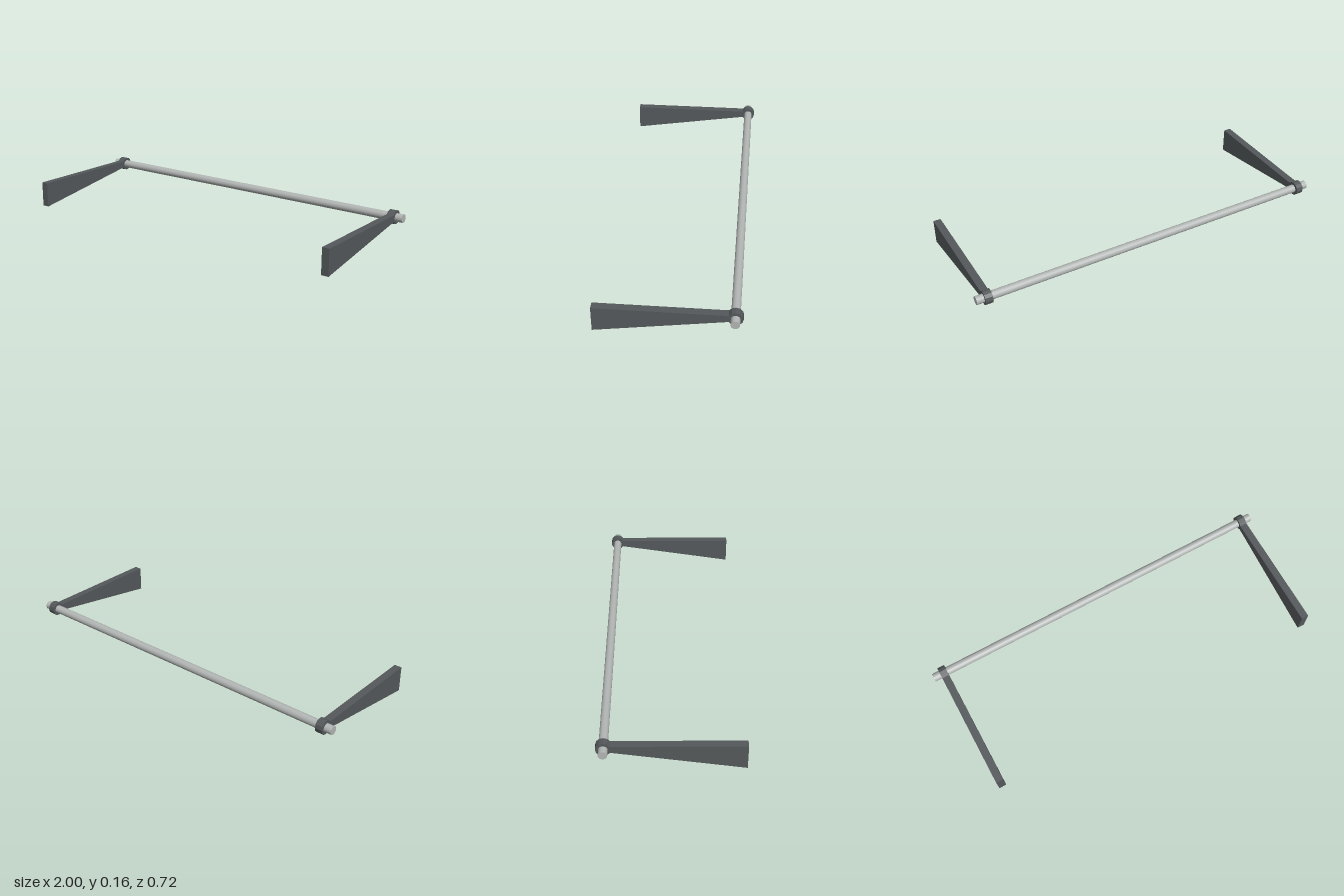
import * as THREE from 'three';

const ROD_Y = 0.121, ROD_Z = -0.3225;

export function createModel() {
  const model = new THREE.Group();
  model.name = 'wallRail';
  const darkMetal = new THREE.MeshStandardMaterial({ color: 0x55595b });
  darkMetal.name = 'dark metal';
  const brightMetal = new THREE.MeshStandardMaterial({ color: 0xb2b6b4 });
  brightMetal.name = 'bright metal';

  // Rail running the full width through both brackets
  const rod = new THREE.Mesh(new THREE.CylinderGeometry(0.0225, 0.0225, 2, 32), brightMetal);
  rod.name = 'rail';
  rod.rotation.z = Math.PI / 2;
  rod.position.set(0, ROD_Y, ROD_Z);
  model.add(rod);

  // Bracket side outline: tapered arm ending in a twelve-sided collar
  const outline = new THREE.Shape();
  outline.moveTo(-0.36, 0);
  for (let a = -150; a <= 150; a += 30) {
    const t = THREE.MathUtils.degToRad(a);
    outline.lineTo(-ROD_Z + 0.0375 * Math.cos(t), ROD_Y + 0.0375 * Math.sin(t));
  }
  outline.lineTo(-0.36, 0.139);
  outline.closePath();
  const bracketGeometry = new THREE.ExtrudeGeometry(outline, { depth: 0.04, bevelEnabled: false });
  bracketGeometry.translate(0, 0, -0.02);
  bracketGeometry.rotateY(Math.PI / 2);

  // One bracket near each end of the rail
  for (const side of [-1, 1]) {
    const bracket = new THREE.Mesh(bracketGeometry, darkMetal);
    bracket.name = side > 0 ? 'leftBracket' : 'rightBracket';
    bracket.position.x = side * 0.94;
    model.add(bracket);
  }
  return model;
}
